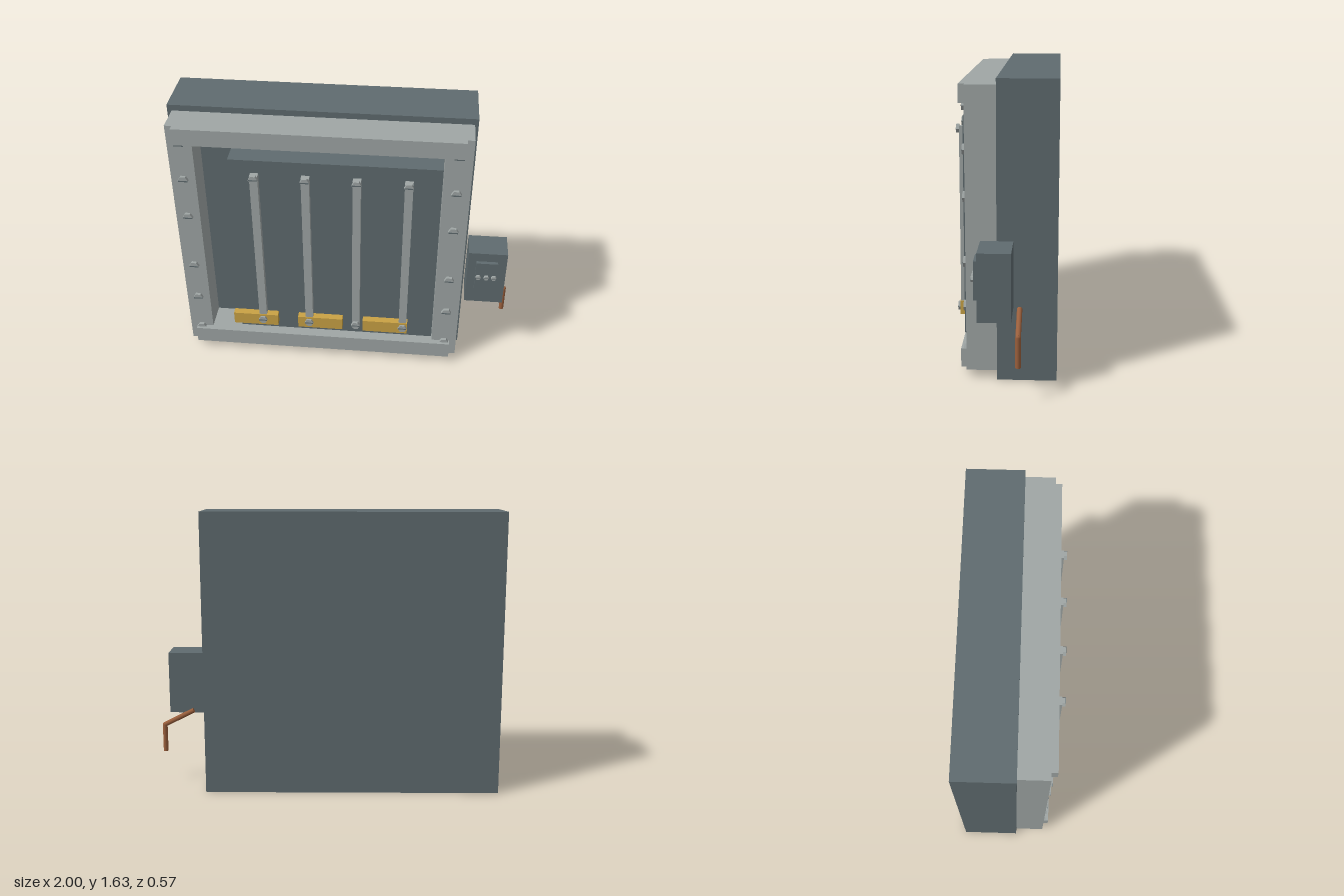
import * as THREE from 'three';

const mat = (name, color) => {
  const m = new THREE.MeshStandardMaterial({ color });
  m.name = name;
  return m;
};

export function createModel() {
  const model = new THREE.Group();
  model.name = 'electricalPanel';
  const dark = mat('dark slate metal', 0x5f6b6f);
  const steel = mat('light grey steel', 0x9fa6a5);
  const brass = mat('brass', 0xc9a244);
  const copper = mat('copper', 0x9a5f3c);

  const add = (name, geometry, material, parent = model) => {
    const mesh = new THREE.Mesh(geometry, material);
    mesh.name = name;
    parent.add(mesh);
    return mesh;
  };

  // Box given by its limits on each axis
  const block = (name, material, x0, x1, y0, y1, z0, z1) => {
    const mesh = add(name, new THREE.BoxGeometry(x1 - x0, y1 - y0, z1 - z0), material);
    mesh.position.set((x0 + x1) / 2, (y0 + y1) / 2, (z0 + z1) / 2);
    return mesh;
  };

  // Hexagonal bolt head facing +z, with a thin slot rib across it
  const bolt = (name, x, y, z, r, h) => {
    const group = new THREE.Group();
    group.name = name;
    group.position.set(x, y, z);
    const hex = new THREE.CylinderGeometry(r, r, h, 6);
    hex.rotateY(Math.PI / 6).rotateX(Math.PI / 2).rotateZ(Math.PI / 6);
    hex.computeBoundingBox();
    // Keep the points of the hexagon on the left and right
    if (hex.boundingBox.max.x < r * 0.95) hex.rotateZ(Math.PI / 6);
    const flat = hex.toNonIndexed();
    flat.computeVertexNormals();
    add('boltHead', flat, steel, group).position.z = h / 2;
    add('boltSlot', new THREE.BoxGeometry(r * 1.8, r * 0.25, 0.003), dark, group).position.z = h;
    model.add(group);
  };

  // Main cabinet
  block('cabinet', dark, -1, 0.715, 0, 1.635, -0.285, 0.04);

  // Door frame with an open centre
  const rect = (path, x0, x1, y0, y1) =>
    path.moveTo(x0, y0).lineTo(x1, y0).lineTo(x1, y1).lineTo(x0, y1).closePath();
  const outline = rect(new THREE.Shape(), -0.975, 0.695, 0.045, 1.6);
  outline.holes.push(rect(new THREE.Path(), -0.835, 0.545, 0.15, 1.5));
  const frame = new THREE.ExtrudeGeometry(outline, { depth: 0.167, bevelEnabled: false });
  add('frame', frame, steel).position.z = 0.04;
  block('topRail', steel, -0.935, 0.655, 1.5, 1.6, 0.205, 0.241);
  block('bottomRail', steel, -0.935, 0.655, 0.045, 0.15, 0.205, 0.241);

  // Bolts down both sides of the frame
  for (const x of [-0.905, 0.62])
    for (const y of [0.145, 0.39, 0.64, 1.0, 1.255, 1.488])
      bolt('frameBolt', x, y, 0.207, 0.03, 0.018);

  // Mounting panel with vertical bus bars
  block('mountingPanel', dark, -0.64, 0.54, 0.2, 1.42, 0.04, 0.23);
  for (const x of [-0.495, -0.21, 0.075, 0.36]) {
    block('busBar', steel, x - 0.023, x + 0.023, 0.275, 1.34, 0.23, 0.267);
    for (const y of [0.295, 1.325]) bolt('barBolt', x, y, 0.267, 0.027, 0.017);
  }

  // Brass connector strips
  for (const x of [-0.54, -0.143, 0.253])
    block('brassStrip', brass, x - 0.136, x + 0.136, 0.25, 0.33, 0.23, 0.272);

  // Side switch box with its cover and screws
  block('switchBox', dark, 0.727, 0.955, 0.42, 0.787, -0.05, 0.125);
  block('switchCover', dark, 0.775, 0.902, 0.52, 0.73, 0.125, 0.147);
  for (const x of [0.793, 0.841, 0.885]) bolt('switchScrew', x, 0.63, 0.147, 0.016, 0.014);

  // Bent copper pipe
  const r = 0.0145;
  const points = [[0.806, 0.444], [0.982, 0.355], [0.982, 0.19]]
    .map(([x, y]) => new THREE.Vector3(x, y, -0.087));
  for (let i = 0; i < 2; i++) {
    const dir = points[i + 1].clone().sub(points[i]);
    const pipe = add('copperPipe', new THREE.CylinderGeometry(r, r, dir.length(), 12), copper);
    pipe.position.copy(points[i]).addScaledVector(dir, 0.5);
    pipe.quaternion.setFromUnitVectors(new THREE.Vector3(0, 1, 0), dir.normalize());
  }
  add('pipeElbow', new THREE.SphereGeometry(r, 12, 8), copper).position.copy(points[1]);

  return model;
}
